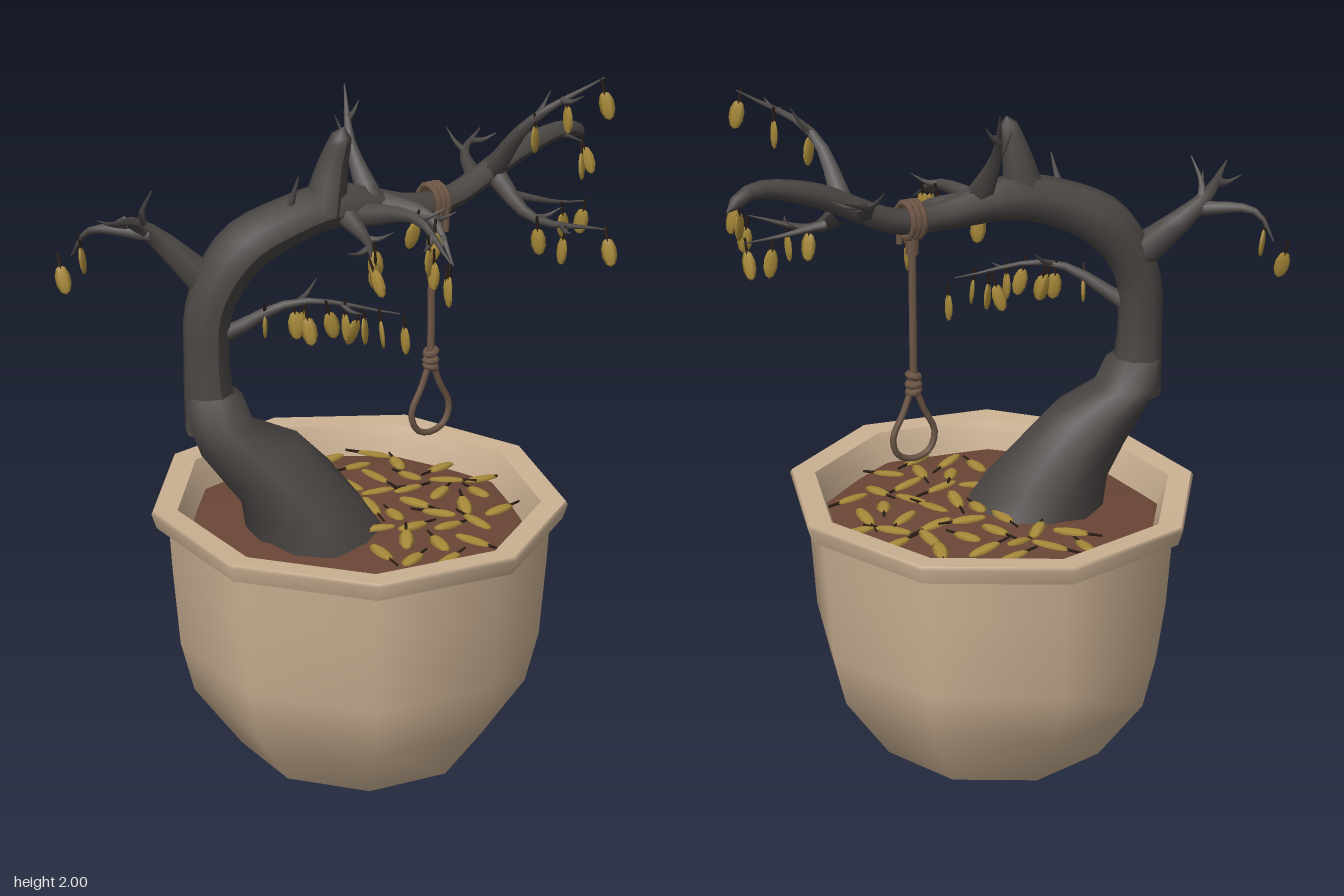
import * as THREE from 'three';

const mat = (name, color, side = THREE.FrontSide) => {
  const m = new THREE.MeshStandardMaterial({ color, side });
  m.name = name;
  return m;
};
const clay = mat('clay', 0xcbb193, THREE.DoubleSide);
const bark = mat('bark', 0x4a4644);
const earth = mat('earth', 0x6a4636);
const leafGold = mat('leafGold', 0xa88a3a);
const stemDark = mat('stemDark', 0x2b1d16);
const ropeBrown = mat('ropeBrown', 0x6f5848);

let seed;
const rand = () => (seed = (seed * 16807) % 2147483647) / 2147483647;
const V = (p) => new THREE.Vector3(p[0], p[1], p[2]);

function add(parent, name, geo, material) {
  const m = new THREE.Mesh(geo, material);
  m.name = name;
  parent.add(m);
  return m;
}

function group(parent, name) {
  const g = new THREE.Group();
  g.name = name;
  parent.add(g);
  return g;
}

// Tube along a curve, its radius interpolated between the given radii
function taper(curve, radii, sides, n) {
  const geo = new THREE.TubeGeometry(curve, n, 1, sides, false);
  const pos = geo.attributes.position, v = new THREE.Vector3();
  for (let i = 0; i <= n; i++) {
    const c = curve.getPointAt(i / n);
    const t = curve.getUtoTmapping(i / n) * (radii.length - 1);
    const k = Math.min(Math.floor(t), radii.length - 2);
    const r = THREE.MathUtils.lerp(radii[k], radii[k + 1], t - k);
    for (let j = 0; j <= sides; j++) {
      const id = i * (sides + 1) + j;
      v.fromBufferAttribute(pos, id).sub(c).multiplyScalar(r).add(c);
      pos.setXYZ(id, v.x, v.y, v.z);
    }
  }
  geo.computeVertexNormals();
  return geo;
}

// Loft through level, slightly knobbly rings [y, cx, cz, rx, rz]
function loft(rings, sides) {
  const p = [], idx = [];
  rings.forEach(([y, cx, cz, rx, rz], i) => {
    for (let j = 0; j < sides; j++) {
      const a = (j / sides) * Math.PI * 2;
      const k = 1 + 0.05 * Math.sin(j * 2.3 + i);
      p.push(cx + Math.cos(a) * rx * k, y, cz + Math.sin(a) * rz * k);
      if (i < rings.length - 1) {
        const a0 = i * sides + j, b0 = i * sides + (j + 1) % sides;
        idx.push(a0, a0 + sides, b0, b0, a0 + sides, b0 + sides);
      }
    }
  });
  const g = new THREE.BufferGeometry();
  g.setAttribute('position', new THREE.Float32BufferAttribute(p, 3));
  g.setIndex(idx);
  g.computeVertexNormals();
  return g;
}

const lathe = (profile, sides) =>
  new THREE.LatheGeometry(profile.map(([r, y]) => new THREE.Vector2(r, y)), sides, Math.PI / 2);

// Nine-sided part of the pot, with a corner facing +x
function potPart(parent, name, profile) {
  const m = add(parent, name, lathe(profile, 9), clay);
  m.position.x = -0.05;
  m.scale.z = 1.045;
}

// Leaf whose pointed length runs along local y, stem at +y
const leafGeo = new THREE.SphereGeometry(1, 6, 5);
const stemGeo = new THREE.CylinderGeometry(0.004, 0.005, 0.045, 4);
function leaf(parent, name, length, width) {
  const g = group(parent, name);
  add(g, 'leafBlade', leafGeo, leafGold).scale.set(width / 2, length / 2, 0.007);
  add(g, 'leafStem', stemGeo, stemDark).position.y = length / 2 + 0.012;
  return g;
}

// Bough through three points; thick ones sprout two twigs, leaves hang from the outer part
function bough(parent, [from, mid, to, radius, leaves]) {
  const curve = new THREE.CatmullRomCurve3([from, mid, to].map(V));
  add(parent, 'branch', taper(curve, [radius, radius * 0.42, 0.002], 6, 8), bark);
  if (radius > 0.024) {
    [0.5, 0.72].forEach((t, i) => {
      const p = curve.getPoint(t), dir = curve.getTangent(t);
      const side = new THREE.Vector3(dir.z, 0.3, -dir.x).multiplyScalar(i ? -1 : 1);
      const elbow = p.clone().addScaledVector(dir, 0.025).addScaledVector(side, 0.03);
      const tip = elbow.clone().addScaledVector(dir, 0.03).addScaledVector(side, 0.035);
      tip.y += 0.02;
      add(parent, 'twig', taper(new THREE.CatmullRomCurve3([p, elbow, tip]), [radius * 0.35, 0.007, 0.001], 5, 5), bark);
    });
  }
  for (let i = 0; i < leaves; i++) {
    const g = leaf(parent, 'hangingLeaf', 0.085, 0.045);
    g.position.copy(curve.getPoint(1 - (0.7 * i) / leaves));
    g.position.x += (rand() - 0.5) * 0.05;
    g.position.y -= 0.055 + rand() * 0.03;
    g.position.z += (rand() - 0.5) * 0.05;
    g.rotation.set((rand() - 0.5) * 0.5, rand() * Math.PI, (rand() - 0.5) * 0.7);
  }
}

export function createModel() {
  seed = 11;
  const model = new THREE.Group();
  model.name = 'pottedTree';

  // Pot
  const pot = group(model, 'pot');
  potPart(pot, 'potBottom', [[0, 0], [0.358, 0]]);
  potPart(pot, 'potWall', [[0.358, 0], [0.497, 0.2], [0.534, 0.36], [0.55, 0.6], [0.557, 0.745]]);
  potPart(pot, 'rimUnderside', [[0.55, 0.74], [0.592, 0.74]]);
  potPart(pot, 'rimEdge', [[0.592, 0.74], [0.606, 0.785], [0.6, 0.795]]);
  potPart(pot, 'rimTop', [[0.6, 0.795], [0.53, 0.79]]);
  potPart(pot, 'innerWall', [[0.53, 0.79], [0.51, 0.74], [0.49, 0.66]]);

  // Soil, gently bumpy
  const soilGeo = lathe([[0.5, 0.69], [0.47, 0.705], [0.3, 0.715], [0.15, 0.72], [0, 0.72]], 18);
  const sp = soilGeo.attributes.position;
  for (let i = 0; i < sp.count; i++) {
    sp.setY(i, sp.getY(i) + 0.008 * Math.sin(sp.getX(i) * 17) * Math.cos(sp.getZ(i) * 15));
  }
  soilGeo.computeVertexNormals();
  const soil = add(model, 'soil', soilGeo, earth);
  soil.position.x = -0.05;
  soil.scale.z = 1.05;

  // Trunk: flared foot, arching stem and the blunt stub on its crown
  const tree = group(model, 'tree');
  add(tree, 'trunkFoot', loft([
    [0.68, -0.18, 0, 0.2, 0.215], [0.8, -0.23, -0.01, 0.17, 0.185], [0.9, -0.295, -0.04, 0.165, 0.155],
    [1.0, -0.37, -0.07, 0.155, 0.13], [1.07, -0.45, -0.1, 0.095, 0.105], [1.16, -0.463, -0.12, 0.08, 0.08],
    [1.17, -0.465, -0.12, 0.03, 0.03],
  ], 10), bark);
  const stem = (name, points, n) => add(tree, name,
    taper(new THREE.CatmullRomCurve3(points.map(V)), points.map((p) => p[3]), 8, n), bark);
  stem('trunk', [
    [-0.465, 1.05, -0.12, 0.08], [-0.475, 1.25, -0.125, 0.066], [-0.46, 1.42, -0.125, 0.068],
    [-0.37, 1.57, -0.1, 0.078], [-0.24, 1.64, -0.06, 0.07], [-0.1, 1.672, -0.03, 0.066],
    [0.12, 1.637, 0.01, 0.04], [0.25, 1.64, 0.02, 0.036], [0.5, 1.75, 0.03, 0.034],
    [0.68, 1.785, 0.025, 0.023], [0.76, 1.75, 0, 0.018], [0.77, 1.745, -0.005, 0.001],
  ], 40);
  stem('crownStub', [
    [-0.14, 1.66, -0.03, 0.065], [-0.115, 1.79, -0.02, 0.044], [-0.095, 1.885, 0, 0.026], [-0.093, 1.9, 0, 0.001],
  ], 10);

  // Boughs: start, middle, tip, thickness, number of hanging leaves
  const leftFork = [
    [[-0.45, 1.47, -0.13], [-0.6, 1.64, -0.24], [-0.77, 1.71, -0.12], 0.055, 0],
    [[-0.58, 1.62, -0.23], [-0.71, 1.62, -0.35], [-0.74, 1.54, -0.4], 0.024, 2],
    [[-0.6, 1.63, -0.24], [-0.61, 1.69, -0.22], [-0.6, 1.76, -0.18], 0.02, 0],
  ];
  const crown = [
    [[-0.26, 1.63, -0.06], [-0.245, 1.71, -0.03], [-0.235, 1.78, -0.01], 0.024, 0],
    [[0, 1.67, 0], [0, 1.81, -0.1], [0.045, 1.96, -0.2], 0.042, 0],
  ];
  const frontBoughs = [
    [[0.02, 1.66, 0], [0.12, 1.63, 0.12], [0.12, 1.52, 0.23], 0.042, 1],
    [[-0.05, 1.64, 0], [0.01, 1.67, 0.2], [0, 1.59, 0.38], 0.038, 5],
    [[-0.09, 1.65, 0], [-0.1, 1.61, 0.12], [-0.18, 1.61, 0.26], 0.035, 3],
    [[-0.43, 1.33, -0.1], [-0.27, 1.435, 0.03], [-0.02, 1.39, 0.17], 0.025, 10],
  ];
  const rightEnd = [
    [[0.4, 1.7, 0.03], [0.425, 1.88, 0.18], [0.6, 1.998, 0.28], 0.034, 3],
    [[0.41, 1.69, 0.03], [0.42, 1.6, 0.2], [0.52, 1.6, 0.4], 0.034, 3],
    [[0.43, 1.64, 0.09], [0.55, 1.61, 0.14], [0.65, 1.6, 0.16], 0.014, 2],
    [[0.35, 1.68, 0.02], [0.4, 1.73, -0.1], [0.5, 1.77, -0.16], 0.03, 0],
    [[0.6, 1.78, 0.03], [0.67, 1.765, 0.05], [0.7, 1.75, 0.07], 0.012, 2],
  ];
  for (const b of [...leftFork, ...crown, ...frontBoughs, ...rightEnd]) bough(tree, b);

  // Fallen leaves: golden-angle scatter, kept clear of the trunk foot
  const litter = group(model, 'fallenLeaves');
  for (let i = 0; i < 56; i++) {
    const r = 0.43 * Math.sqrt((i + 0.5) / 56), a = i * 2.4;
    const x = -0.04 + r * Math.cos(a), z = r * Math.sin(a);
    if (x < -0.02 - Math.abs(z) * 0.55) continue;
    const g = leaf(litter, 'fallenLeaf', 0.115, 0.046);
    g.position.set(x, 0.73 + rand() * 0.008, z);
    g.rotation.set(-Math.PI / 2 + (rand() - 0.5) * 0.25, (rand() - 0.5) * 0.3, rand() * Math.PI * 2);
  }

  // Rope: coils round the bough, hanging cord, knot and loop
  const rope = group(model, 'rope');
  rope.position.set(0.205, 0, 0.01);
  for (const dx of [-0.017, 0, 0.017]) {
    const coil = add(rope, 'boughCoil', new THREE.TorusGeometry(0.05, 0.01, 5, 12), ropeBrown);
    coil.position.set(dx, 1.64, 0.005);
    coil.rotation.y = Math.PI / 2;
  }
  for (const dx of [-0.012, 0.012]) {
    add(rope, 'coilTail', new THREE.CylinderGeometry(0.01, 0.01, 0.08, 5), ropeBrown).position.set(dx, 1.6, 0.05);
  }
  add(rope, 'topKnot', new THREE.CylinderGeometry(0.02, 0.018, 0.06, 6), ropeBrown).position.y = 1.57;
  add(rope, 'cord', new THREE.CylinderGeometry(0.011, 0.011, 0.44, 6), ropeBrown).position.y = 1.37;
  [1.135, 1.155, 1.18].forEach((y, i) => {
    const wrap = add(rope, 'knotWrap', new THREE.TorusGeometry(0.016, 0.011, 5, 10), ropeBrown);
    wrap.position.y = y;
    wrap.rotation.set(Math.PI / 2, (i - 1) * 0.3, 0);
  });
  const half = [[0.035, 1.07], [0.068, 1.0], [0.05, 0.945]];
  const loopPoints = [[0, 1.14], ...half, [0, 0.927], ...half.map(([x, y]) => [-x, y]).reverse()];
  const loopPath = new THREE.CatmullRomCurve3(loopPoints.map(([x, y]) => V([x, y, 0])), true);
  add(rope, 'ropeLoop', new THREE.TubeGeometry(loopPath, 24, 0.01, 5, true), ropeBrown);

  return model;
}
